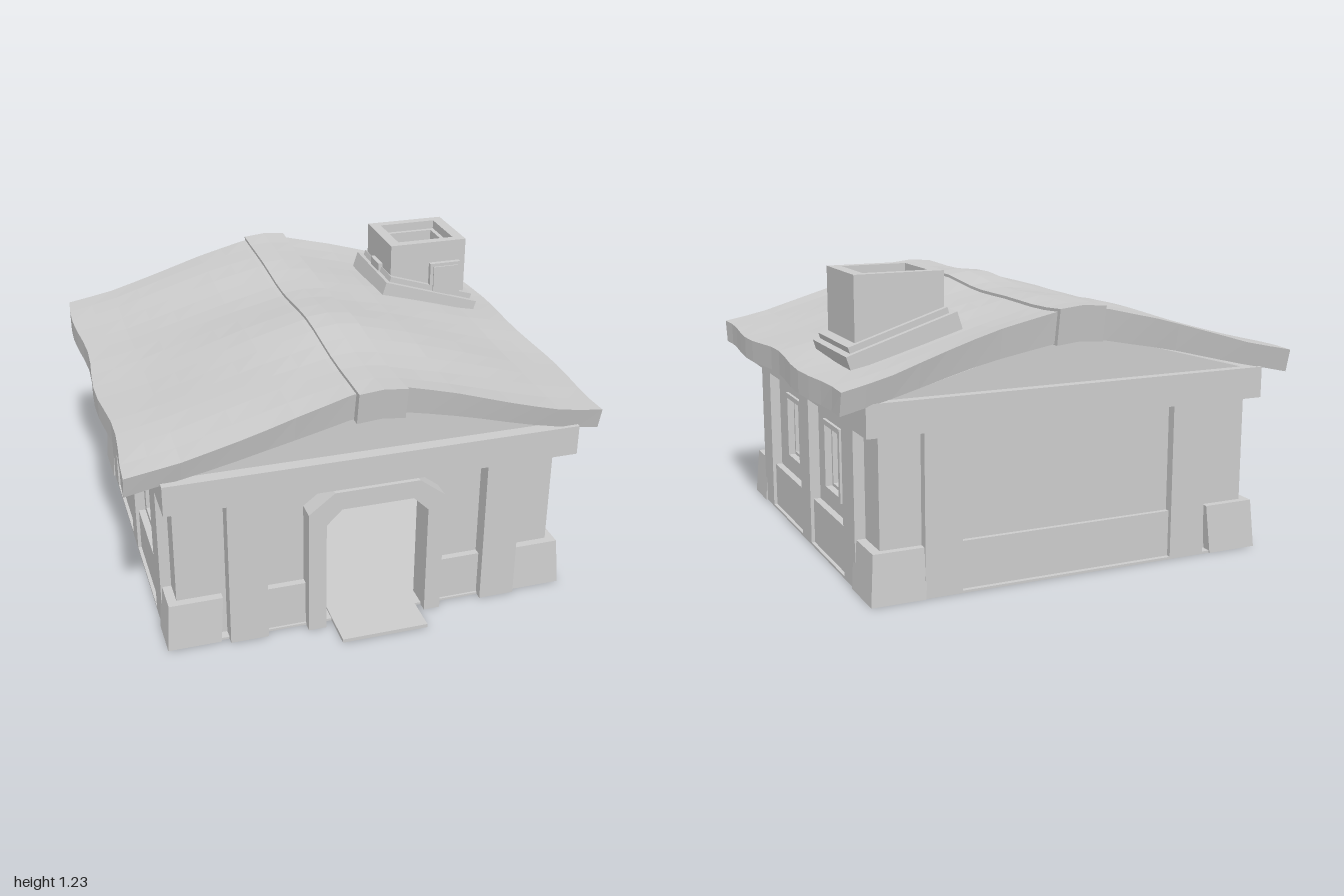
import * as THREE from 'three';

const mat = new THREE.MeshStandardMaterial({ color: 0xcccccc, flatShading: true });
const insideMat = new THREE.MeshStandardMaterial({ color: 0xcccccc, flatShading: true, side: THREE.BackSide });

export function createModel() {
  const house = new THREE.Group();
  house.name = 'cottage';

  const add = (name, geo, parent = house, material = mat) => {
    const mesh = new THREE.Mesh(geo, material);
    mesh.name = name;
    parent.add(mesh);
    return mesh;
  };
  // Box given by its limits on each axis
  const span = (x0, x1, y0, y1, z0, z1) =>
    new THREE.BoxGeometry(x1 - x0, y1 - y0, z1 - z0)
      .translate((x0 + x1) / 2, (y0 + y1) / 2, (z0 + z1) / 2);
  const outline = pts => pts.map(p => new THREE.Vector2(...p));
  const rect = (x0, x1, y0, y1) => outline([[x0, y0], [x1, y0], [x1, y1], [x0, y1]]);
  // Flat panel with holes, extruded along +z
  const panel = (pts, holes, depth) => {
    const shape = new THREE.Shape(pts);
    holes.forEach(h => shape.holes.push(new THREE.Path(h)));
    return new THREE.ExtrudeGeometry(shape, { depth, bevelEnabled: false });
  };
  // Block leaning inwards towards its top
  const tapered = (x0, x1, y0, y1, z0, z1, dx, dz) => {
    const g = span(x0, x1, y0, y1, z0, z1), p = g.attributes.position;
    for (let i = 0; i < p.count; i++) {
      if (p.getY(i) > (y0 + y1) / 2) p.setXYZ(i, p.getX(i) + dx, y1, p.getZ(i) + dz);
    }
    g.computeVertexNormals();
    return g;
  };

  // Floor and doorstep
  add('floor', span(-0.86, 0.86, 0, 0.01, -0.9, 0.79));
  add('doorstep', span(-0.17, 0.2, 0, 0.016, -0.8, 0.95));

  // Room lining, seen through the door and the windows
  add('roomLining', span(-0.755, 0.755, 0.012, 0.66, -0.8, 0.7), house, insideMat);

  // Front wall with doorway, and back wall
  const doorway = [[0.23, 0], [0.23, 0.5], [0.165, 0.565], [-0.14, 0.565], [-0.205, 0.5], [-0.205, 0]];
  add('frontWall', panel(outline([[-0.815, 0], [-0.205, 0], ...doorway.slice().reverse().slice(1),
    [0.815, 0], [0.815, 0.67], [-0.815, 0.67]]), [], 0.05).translate(0, 0, 0.7));
  add('backWall', span(-0.815, 0.815, 0, 0.67, -0.86, -0.8));

  // Door surround
  add('doorFrame', panel(outline([[0.3, 0], [0.3, 0.56], [0.19, 0.645], [-0.17, 0.645], [-0.28, 0.56],
    [-0.28, 0], ...doorway.slice().reverse()]), [], 0.13).translate(0, 0, 0.7));

  // Side walls with two windows each
  const windows = [[-0.35, -0.13], [0.21, 0.43]];
  const holes = windows.map(([a, b]) => rect(a + 0.01, b - 0.01, 0.28, 0.57));
  for (const s of [-1, 1]) {
    const wall = new THREE.Group();
    wall.name = s > 0 ? 'leftWall' : 'rightWall';
    house.add(wall);
    add('wallPanel', panel(rect(-0.75, 0.86, 0, 0.67), holes, 0.06)
      .rotateY(Math.PI / 2).translate(s * 0.785 - 0.03, 0, 0), wall);
    windows.forEach(([a, b]) => {
      add('windowFrame', panel(rect(a, b, 0.27, 0.58), [rect(a + 0.022, b - 0.022, 0.292, 0.558)], 0.07)
        .rotateY(Math.PI / 2).translate(s * 0.793 - 0.035, 0, 0), wall);
      add('windowInnerFrame', panel(rect(a + 0.015, b - 0.015, 0.285, 0.565),
        [rect(a + 0.035, b - 0.035, 0.305, 0.545)], 0.04)
        .rotateY(Math.PI / 2).translate(s * 0.778 - 0.02, 0, 0), wall);
    });
    // Side posts
    for (const [z0, z1] of [[0.5, 0.64], [-0.11, 0.02], [-0.7, -0.56]]) {
      add('sidePost', span(Math.min(s * 0.8, s * 0.86), Math.max(s * 0.8, s * 0.86), 0, 0.67, z0, z1), wall);
    }
    // Plinth along the side
    const x = [s * 0.8, s * 0.845].sort((a, b) => a - b);
    add('sidePlinth', span(x[0], x[1], 0, 0.205, -0.7, 0.64), wall);
    // Flared corner blocks
    const c = [s * 0.645, s * 0.868].sort((a, b) => a - b);
    add('cornerBlock', tapered(c[0], c[1], 0, 0.205, 0.71, 0.8, -s * 0.015, -0.015), wall);
    add('cornerBlock', tapered(c[0], c[1], 0, 0.205, -0.905, -0.82, -s * 0.015, 0.015), wall);
    const e = [s * 0.76, s * 0.868].sort((a, b) => a - b);
    add('cornerBlock', tapered(e[0], e[1], 0, 0.205, 0.62, 0.8, -s * 0.015, -0.015), wall);
    add('cornerBlock', tapered(e[0], e[1], 0, 0.205, -0.905, -0.68, -s * 0.015, 0.015), wall);
  }

  // Front and back posts
  for (const [x0, x1] of [[-0.61, -0.45], [0.49, 0.645]]) {
    add('frontPost', span(x0, x1, 0, 0.67, 0.72, 0.82));
    add('backPost', span(x0, x1, 0, 0.67, -0.9, -0.83));
  }
  // Plinths between the posts
  add('frontPlinth', span(-0.46, -0.27, 0, 0.205, 0.72, 0.78));
  add('frontPlinth', span(0.29, 0.5, 0, 0.205, 0.72, 0.78));
  add('backPlinth', span(-0.46, 0.5, 0, 0.205, -0.88, -0.83));

  // Ring beam and gable
  add('ringBeam', tapered(-0.86, 0.88, 0.66, 0.79, -0.92, 0.835, 0, 0));
  add('gable', panel(outline([[-0.8, 0.785], [0.8, 0.785], [0.07, 0.98], [-0.07, 0.98]]), [], 1.66)
    .translate(0, 0, -0.88));

  // Sagging roof: heights across the slope, read by linear interpolation
  const topLine = [[0, 1.09], [0.1, 1.08], [0.35, 1.02], [0.6, 0.945], [0.8, 0.885], [1, 0.85]];
  const underLine = [[0, 0.965], [0.1, 0.955], [0.4, 0.895], [0.75, 0.805], [1, 0.755]];
  const sample = (line, x) => {
    let i = 1;
    while (i < line.length - 1 && line[i][0] < x) i++;
    const [a, b] = [line[i - 1], line[i]];
    return a[1] + (b[1] - a[1]) * (x - a[0]) / (b[0] - a[0]);
  };
  const wave = (x, z) => 0.012 * Math.sin(5.2 * z + 1.5 * x + 0.6) + 0.007 * Math.sin(9 * z - 4 * x);
  const roofSheet = (x0, x1, z0, z1, nx, nz, lift, ragged) => {
    const g = new THREE.BoxGeometry(x1 - x0, 1, z1 - z0, nx, 1, nz)
      .translate((x0 + x1) / 2, 0, (z0 + z1) / 2);
    const p = g.attributes.position;
    for (let i = 0; i < p.count; i++) {
      const x = p.getX(i), z = p.getZ(i), top = p.getY(i) > 0;
      const a = Math.min(Math.abs(x), 1);
      const y = top ? sample(topLine, a) + lift + wave(x, z) * (1 - 0.5 * a)
        : sample(underLine, a) - lift * 0.3 + wave(x, z) * 0.3;
      // Uneven eaves and verges
      const nxp = x - Math.sign(x) * ragged * Math.max(0, a - 0.8) * 5 * (0.5 + 0.5 * Math.sin(8 * z + 2 * x));
      const edge = Math.max(0, Math.abs(z + 0.05) - 0.7) * 5;
      const nzp = z - Math.sign(z) * edge * ragged * (0.5 + 0.5 * Math.sin(6 * x + z))
        + (top ? 0 : -0.025 * Math.sign(z) * Math.min(edge, 1));
      p.setXYZ(i, nxp, y, nzp);
    }
    g.computeVertexNormals();
    return g;
  };
  add('roof', roofSheet(-1, 1, -0.945, 0.85, 18, 15, 0, 0.025));
  add('ridgeCap', roofSheet(-0.09, 0.11, -0.96, 0.87, 2, 15, 0.012, 0));

  // Chimney on the left slope, towards the back
  const chimney = new THREE.Group();
  chimney.name = 'chimney';
  chimney.position.set(0.632, 0, -0.455);
  house.add(chimney);
  const skirt = new THREE.Group();
  skirt.name = 'chimneySkirt';
  skirt.position.set(0, 0.97, 0);
  skirt.rotation.z = -0.31;
  chimney.add(skirt);
  add('skirtBase', span(-0.24, 0.24, -0.06, 0.025, -0.215, 0.215), skirt);
  add('skirtStep', span(-0.215, 0.215, 0.02, 0.05, -0.19, 0.19), skirt);
  // Hollow stack with a stepped mouth
  const ring = (w, d, iw, id, h) => panel(rect(-w, w, -d, d), [rect(-iw, iw, -id, id)], h).rotateX(-Math.PI / 2);
  add('stack', ring(0.185, 0.167, 0.135, 0.125, 0.3).translate(0, 0.925, 0), chimney);
  add('stackLiner', ring(0.14, 0.13, 0.115, 0.105, 0.26).translate(0, 0.925, 0), chimney);
  add('stackFloor', span(-0.14, 0.14, 0.92, 1.02, -0.13, 0.13), chimney);
  // Raised stones on the stack
  add('stackStone', span(0.005, 0.155, 0.96, 1.125, 0.15, 0.19), chimney);
  add('stackStoneFace', span(0.02, 0.14, 0.965, 1.11, 0.18, 0.197), chimney);
  add('stackStone', span(-0.205, -0.17, 1.02, 1.1, -0.06, 0.05), chimney);

  return house;
}
